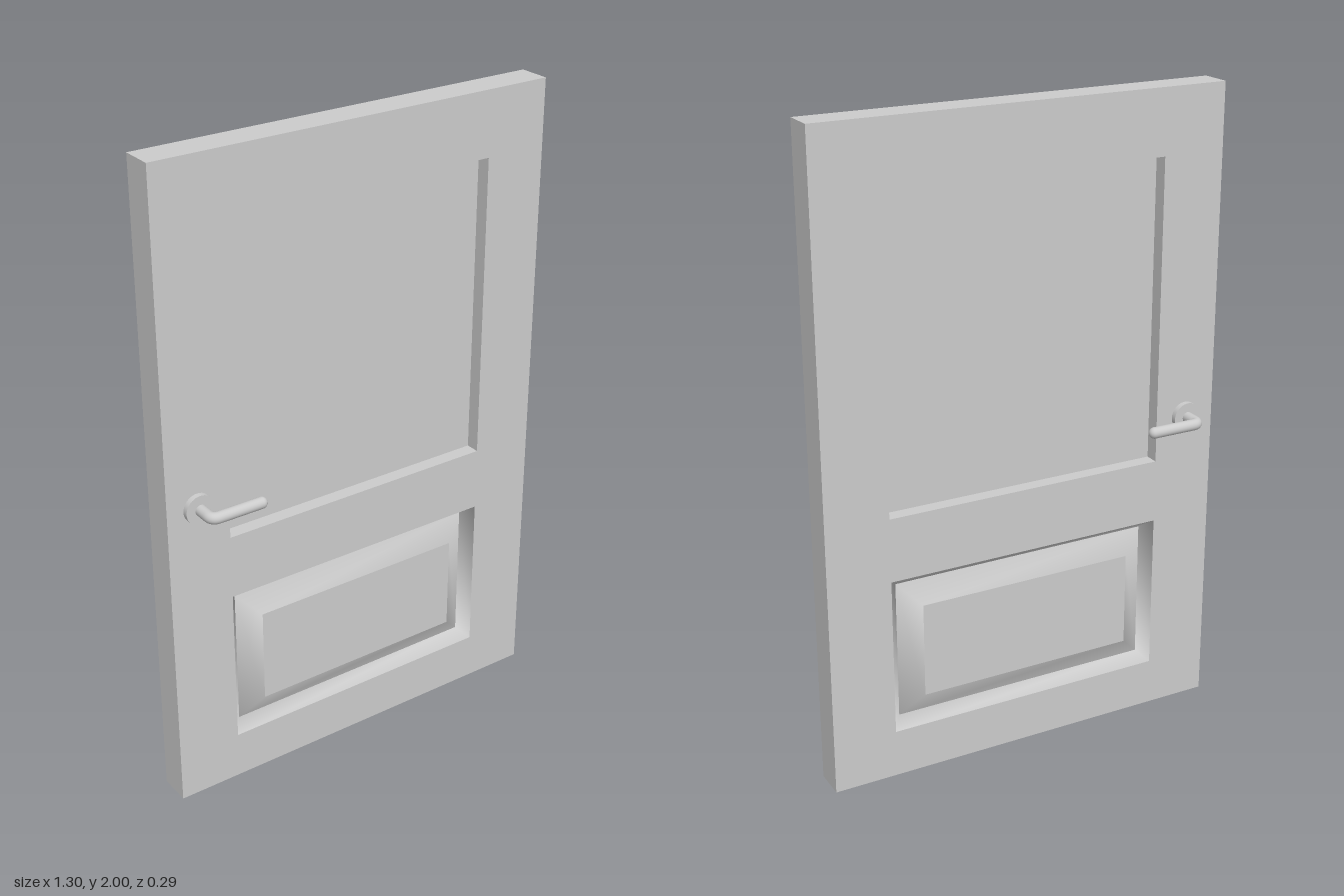
import * as THREE from 'three';

const material = new THREE.MeshStandardMaterial({ color: 0xcccccc });

function addMesh(parent, name, geometry) {
  const mesh = new THREE.Mesh(geometry, material);
  mesh.name = name;
  parent.add(mesh);
  return mesh;
}

// Rectangle corners, counter-clockwise seen from +z
function corners(halfW, y0, y1, z) {
  return [-halfW, y0, z, halfW, y0, z, halfW, y1, z, -halfW, y1, z];
}

// Mitred band from an outer to an inner rectangle, facing +z
function rectBand(outer, inner) {
  const index = [];
  for (let i = 0; i < 4; i++) {
    const j = (i + 1) % 4;
    index.push(i, j, 4 + j, i, 4 + j, 4 + i);
  }
  const g = new THREE.BufferGeometry();
  g.setAttribute('position', new THREE.Float32BufferAttribute([...outer, ...inner], 3));
  g.setIndex(index);
  g.computeVertexNormals();
  return g;
}

function rectPath(halfW, y0, y1) {
  return new THREE.Path([
    new THREE.Vector2(-halfW, y0), new THREE.Vector2(-halfW, y1),
    new THREE.Vector2(halfW, y1), new THREE.Vector2(halfW, y0),
  ]);
}

// Sloped moulding and raised field of the lower panel
function makeLowerPanel() {
  const panel = new THREE.Group();
  const opening = corners(0.45, 0.15, 0.65, 0.05);
  const groove = corners(0.42, 0.18, 0.62, 0.01);
  const rim = corners(0.35, 0.25, 0.55, 0.05);
  addMesh(panel, 'panelMoulding', rectBand(opening, groove));
  addMesh(panel, 'panelBevel', rectBand(groove, rim));
  addMesh(panel, 'panelField', new THREE.PlaneGeometry(0.7, 0.3)).position.set(0, 0.4, 0.05);
  return panel;
}

// Lever handle on a round rosette, on the +z face
function makeHandle() {
  const handle = new THREE.Group();
  const r = 0.0175, reach = 0.128, bend = 0.022, tip = 0.16;
  const rose = new THREE.CylinderGeometry(0.046, 0.046, 0.018, 40);
  rose.rotateX(Math.PI / 2);
  addMesh(handle, 'rosette', rose).position.z = 0.058;

  const v = (x, z) => new THREE.Vector3(x, 0, z);
  const path = new THREE.CurvePath();
  path.add(new THREE.LineCurve3(v(0, 0.06), v(0, reach - bend)));
  path.add(new THREE.QuadraticBezierCurve3(v(0, reach - bend), v(0, reach), v(bend, reach)));
  path.add(new THREE.LineCurve3(v(bend, reach), v(tip, reach)));
  addMesh(handle, 'lever', new THREE.TubeGeometry(path, 64, r, 20));
  addMesh(handle, 'leverTip', new THREE.SphereGeometry(r, 20, 14)).position.set(tip, 0, reach);
  handle.position.set(-0.551, 0.983, 0);
  return handle;
}

export function createModel() {
  const door = new THREE.Group();
  door.name = 'door';

  // Door frame with two openings
  const outline = new THREE.Shape(rectPath(0.65, 0, 2).getPoints().reverse());
  outline.holes.push(rectPath(0.45, 0.85, 1.8), rectPath(0.45, 0.15, 0.65));
  const frame = new THREE.ExtrudeGeometry(outline, { depth: 0.1, bevelEnabled: false });
  frame.translate(0, 0, -0.05);
  addMesh(door, 'doorFrame', frame);

  // Thin recessed upper pane
  addMesh(door, 'upperPane', new THREE.BoxGeometry(0.9, 0.95, 0.01)).position.y = 1.325;

  // Lower panel on both faces
  for (const side of ['front', 'back']) {
    const panel = makeLowerPanel();
    panel.name = side + 'LowerPanel';
    if (side === 'back') panel.rotation.y = Math.PI;
    door.add(panel);

    // Both levers point toward +x, so the back one is mirrored in z
    const handle = makeHandle();
    handle.name = side + 'Handle';
    if (side === 'back') handle.scale.z = -1;
    door.add(handle);
  }
  return door;
}
